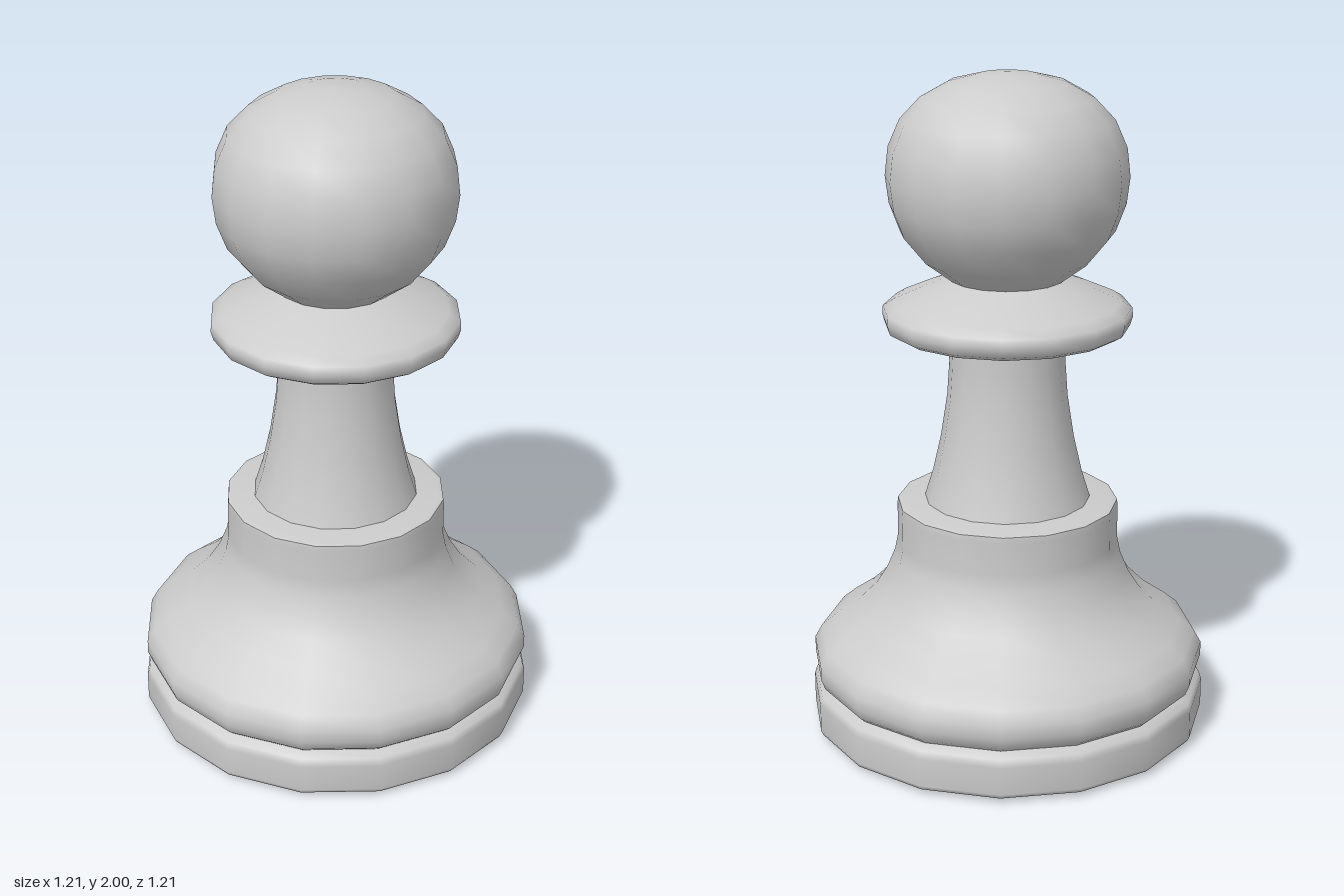
import * as THREE from 'three';

const SIDES = 16;

// Profiles run bottom to top as [radius, height]; each part is shaded smoothly.
const PARTS = {
  footUnderside: [[0, 0], [0.3, 0], [0.57, 0.01]],
  footRing: [[0.57, 0.01], [0.598, 0.016], [0.605, 0.03], [0.605, 0.115], [0.598, 0.138], [0.57, 0.152]],
  base: [
    [0.57, 0.152], [0.588, 0.168], [0.6, 0.2], [0.6, 0.24], [0.578, 0.28], [0.53, 0.32], [0.46, 0.37],
    [0.405, 0.425], [0.37, 0.48], [0.345, 0.54], [0.335, 0.59], [0.335, 0.69], [0.333, 0.71],
  ],
  baseShoulder: [[0.333, 0.71], [0.32, 0.714], [0.25, 0.72]],
  stem: [[0.25, 0.72], [0.225, 0.8], [0.2, 0.91], [0.18, 1.04], [0.173, 1.14], [0.173, 1.245]],
  collarUnderside: [[0.173, 1.245], [0.34, 1.245]],
  collar: [[0.34, 1.245], [0.362, 1.258], [0.37, 1.285], [0.368, 1.312], [0.335, 1.332], [0.25, 1.37], [0.17, 1.4]],
  head: [
    [0.17, 1.4], [0.25, 1.46], [0.315, 1.54], [0.345, 1.62], [0.355, 1.7], [0.345, 1.785],
    [0.31, 1.865], [0.25, 1.928], [0.17, 1.973], [0.085, 1.994], [0, 2],
  ],
};

export function createModel() {
  const group = new THREE.Group();
  group.name = 'pawn';
  const material = new THREE.MeshStandardMaterial({ color: 0xcccccc });

  // Turn every profile around the vertical axis
  for (const [name, profile] of Object.entries(PARTS)) {
    const points = profile.map(([r, y]) => new THREE.Vector2(r, y));
    const mesh = new THREE.Mesh(new THREE.LatheGeometry(points, SIDES), material);
    mesh.name = name;
    group.add(mesh);
  }
  return group;
}
